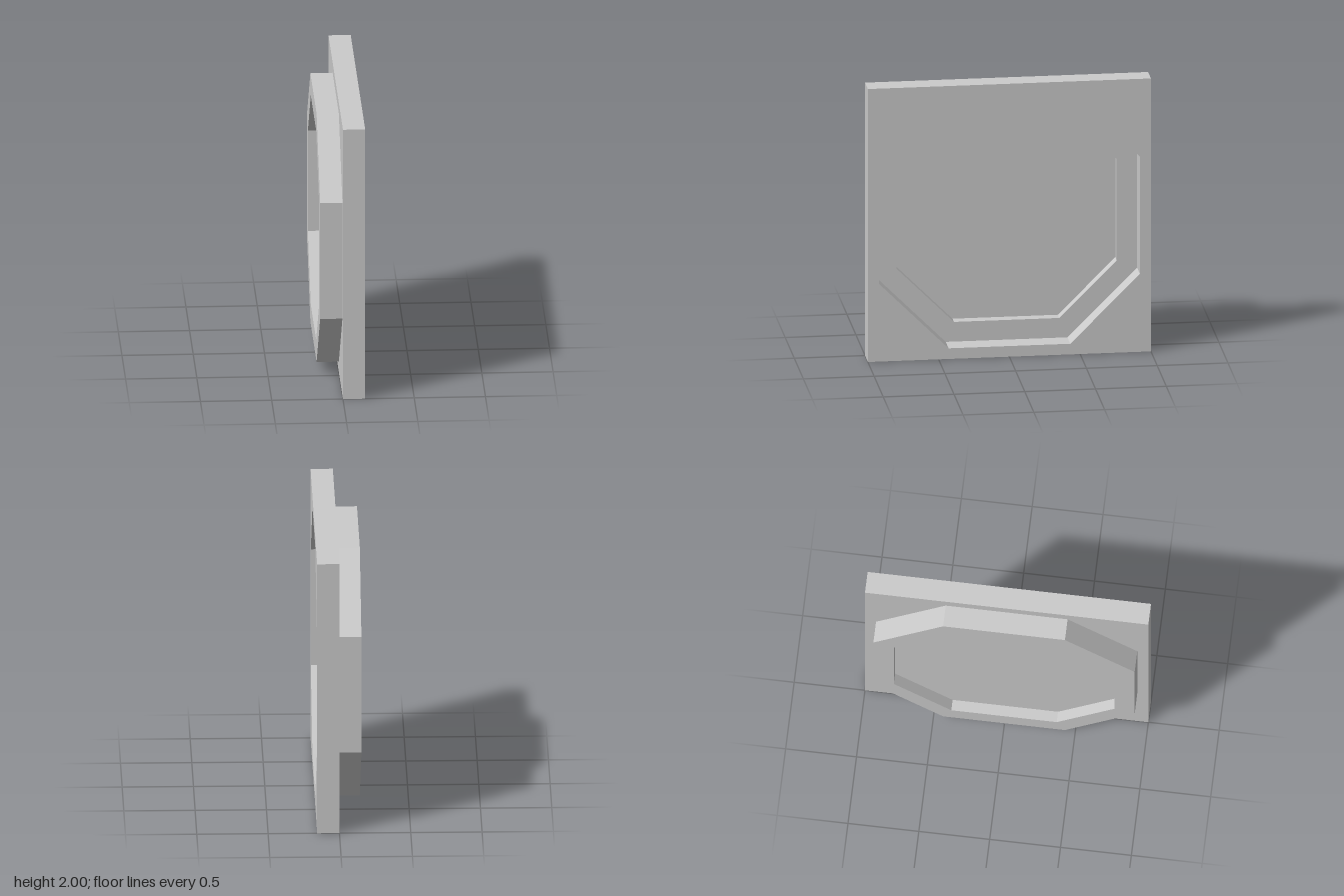
import * as THREE from 'three';

const DEPTH = 0.156;

// Octagon with flats at distance r and corners at half-width c
function octagon(r, c, PathType = THREE.Shape) {
  const pts = [[r, -c], [r, c], [c, r], [-c, r], [-r, c], [-r, -c], [-c, -r], [c, -r]];
  return new PathType(pts.map(([x, y]) => new THREE.Vector2(x, y)));
}

export function createModel() {
  const group = new THREE.Group();
  const material = new THREE.MeshStandardMaterial({ color: 0xcccccc, flatShading: true });
  const paneMaterial = material.clone();
  paneMaterial.side = THREE.DoubleSide;

  // Turns a profile drawn in XY to face +x, at the given x
  function add(name, geometry, x, mat = material) {
    geometry.rotateY(Math.PI / 2);
    const mesh = new THREE.Mesh(geometry, mat);
    mesh.name = name;
    mesh.position.set(x, 1, 0);
    group.add(mesh);
  }
  const slab = shape => new THREE.ExtrudeGeometry(shape, { depth: DEPTH, bevelEnabled: false });

  // Square plate with an octagonal opening
  const square = new THREE.Shape([[-1, -1], [1, -1], [1, 1], [-1, 1]].map(p => new THREE.Vector2(...p)));
  square.holes.push(octagon(0.922, 0.43, THREE.Path));
  add('wallPlate', slab(square), 0);

  // Octagonal frame behind the plate
  const ring = octagon(0.922, 0.43);
  ring.holes.push(octagon(0.778, 0.372, THREE.Path));
  add('windowFrame', slab(ring), -DEPTH);

  // Thin pane halfway through the frame
  add('windowPane', new THREE.ShapeGeometry(octagon(0.778, 0.372)), -DEPTH / 2, paneMaterial);

  return group;
}
